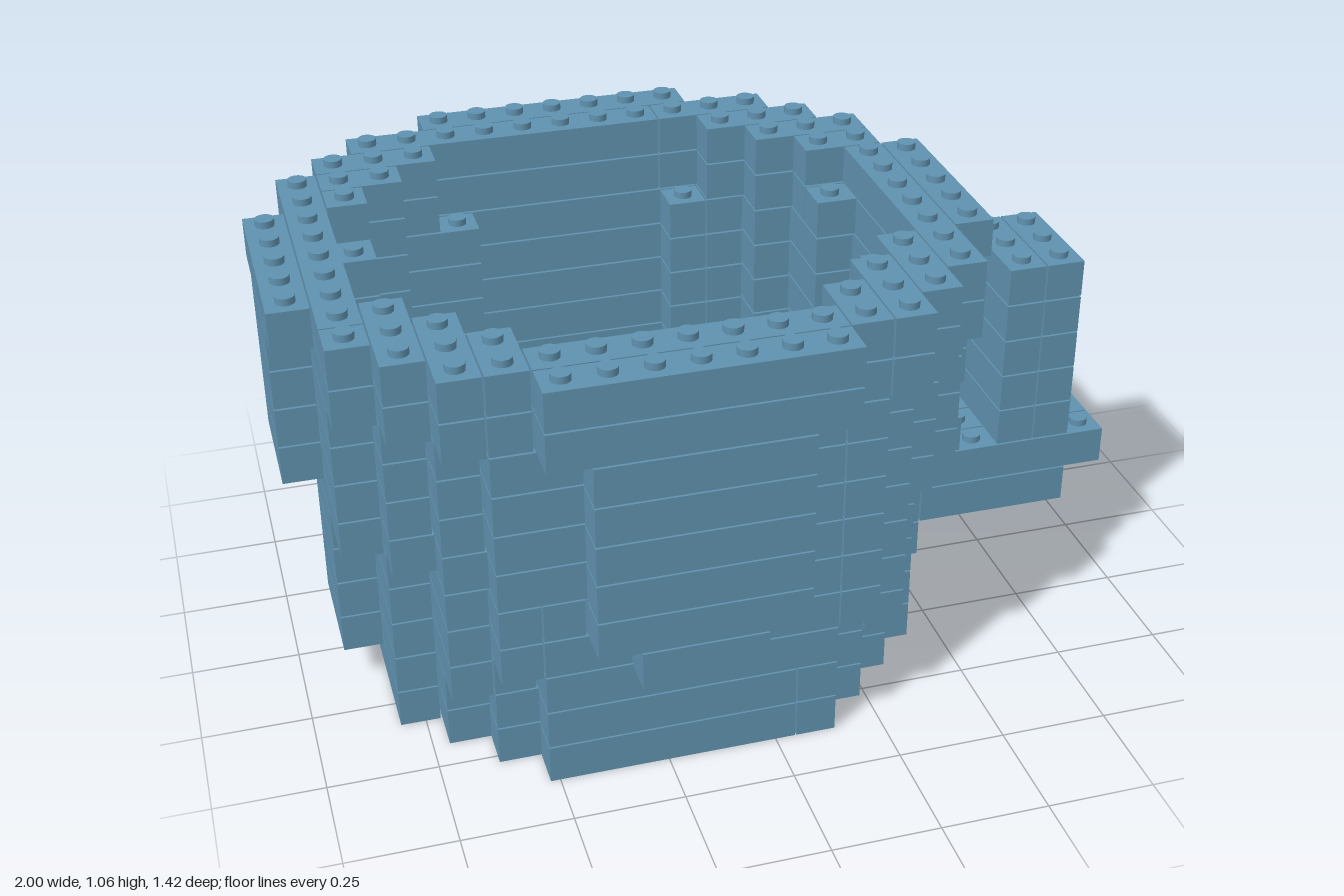
import * as THREE from 'three';
import { mergeGeometries } from 'three/addons/utils/BufferGeometryUtils.js';

const P = 2 / 21;      // brick pitch, also the height of one course
const GAP = 0.004;     // seam between bricks
const CX = 8, CZ = 7;  // cup centre cell

// Half-width in cells of each course, listed by row distance from the centre line
const WALL = [8, 8, 7, 7, 6, 5, 4, 2];
const OUTLINE = [
  [6, 6, 6, 6, 5, 4, 3],
  [7, 7, 6, 6, 5, 4, 3],
  [7, 7, 6, 6, 5, 5, 3],
  [7, 7, 6, 6, 5, 5, 4, 1],
  [7, 7, 6, 6, 5, 5, 4, 2],
  [7, 7, 7, 7, 6, 5, 4, 2],
  WALL, WALL, WALL,
  [8, 8, 7, 7, 7, 6, 5, 3],
  [8, 8, 8, 7, 7, 6, 5, 3],
];

const inside = (k, c, r) => Math.abs(c) <= (OUTLINE[k][Math.abs(r)] ?? -1);

// The cavity starts above the floor and leaves a wall two bricks thick
function hollow(k, c, r) {
  if (k < 2 || Math.abs(c) + Math.abs(r) >= 9) return false;
  const n = Math.max(k, 3);
  for (let dx = -2; dx <= 2; dx++) {
    const span = 2 - Math.abs(dx);
    for (let dz = -span; dz <= span; dz++) if (!inside(n, c + dx, r + dz)) return false;
  }
  return true;
}

const cupCell = (k, i, j) => k >= 0 && k < 11 && inside(k, i - CX, j - CZ) && !hollow(k, i - CX, j - CZ);

// Handle: bracket courses with an upright post
function handleCell(k, i, j) {
  if (Math.abs(j - CZ) > 1) return false;
  if (k === 2) return i >= 16 && i <= 19;
  if (k === 3) return i >= 16 && i <= 20;
  if (k === 4 && i === 16) return true;
  return k >= 4 && k <= 8 && (i === 18 || i === 19);
}

const anyCell = (k, i, j) => cupCell(k, i, j) || handleCell(k, i, j);

// Lay one course of long bricks, with studs wherever nothing sits on top
function course(k, cell) {
  const used = new Set(), parts = [];
  const free = (i, j) => i >= 0 && i < 21 && j >= 0 && j < 15 && cell(k, i, j) && !used.has(i * 20 + j);
  for (let j = 0; j < 15; j++) {
    for (let i = 0; i < 21; i++) {
      if (!free(i, j)) continue;
      let nx = 1, nz = 1;
      while (nx < 8 && free(i + nx, j)) nx++;
      while (nz < 8 && free(i, j + nz)) nz++;
      if (nx >= nz) nz = 1; else nx = 1;
      for (let a = 0; a < nx; a++) for (let b = 0; b < nz; b++) used.add((i + a) * 20 + j + b);
      const brick = new THREE.BoxGeometry(nx * P - GAP, P - GAP, nz * P - GAP);
      brick.translate(-1 + (i + nx / 2) * P, (k + 0.5) * P, (j + nz / 2 - 7.5) * P);
      parts.push(brick);
      for (let a = 0; a < nx; a++) {
        for (let b = 0; b < nz; b++) {
          if (anyCell(k + 1, i + a, j + b)) continue;
          const stud = new THREE.CylinderGeometry(0.022, 0.022, 0.018, 16);
          stud.translate(-1 + (i + a + 0.5) * P, (k + 1) * P + 0.0055, (j + b - 7) * P);
          parts.push(stud);
        }
      }
    }
  }
  return parts.length ? mergeGeometries(parts) : null;
}

export function createModel() {
  const model = new THREE.Group();
  model.name = 'brickMug';
  const blue = new THREE.MeshStandardMaterial({ color: 0x6092af });
  blue.name = 'dustyBlue';

  for (const [name, cell] of [['cup', cupCell], ['handle', handleCell]]) {
    const group = new THREE.Group();
    group.name = name;
    for (let k = 0; k < 11; k++) {
      const geometry = course(k, cell);
      if (!geometry) continue;
      const mesh = new THREE.Mesh(geometry, blue);
      mesh.name = `${name}Course${k + 1}`;
      group.add(mesh);
    }
    model.add(group);
  }
  return model;
}
